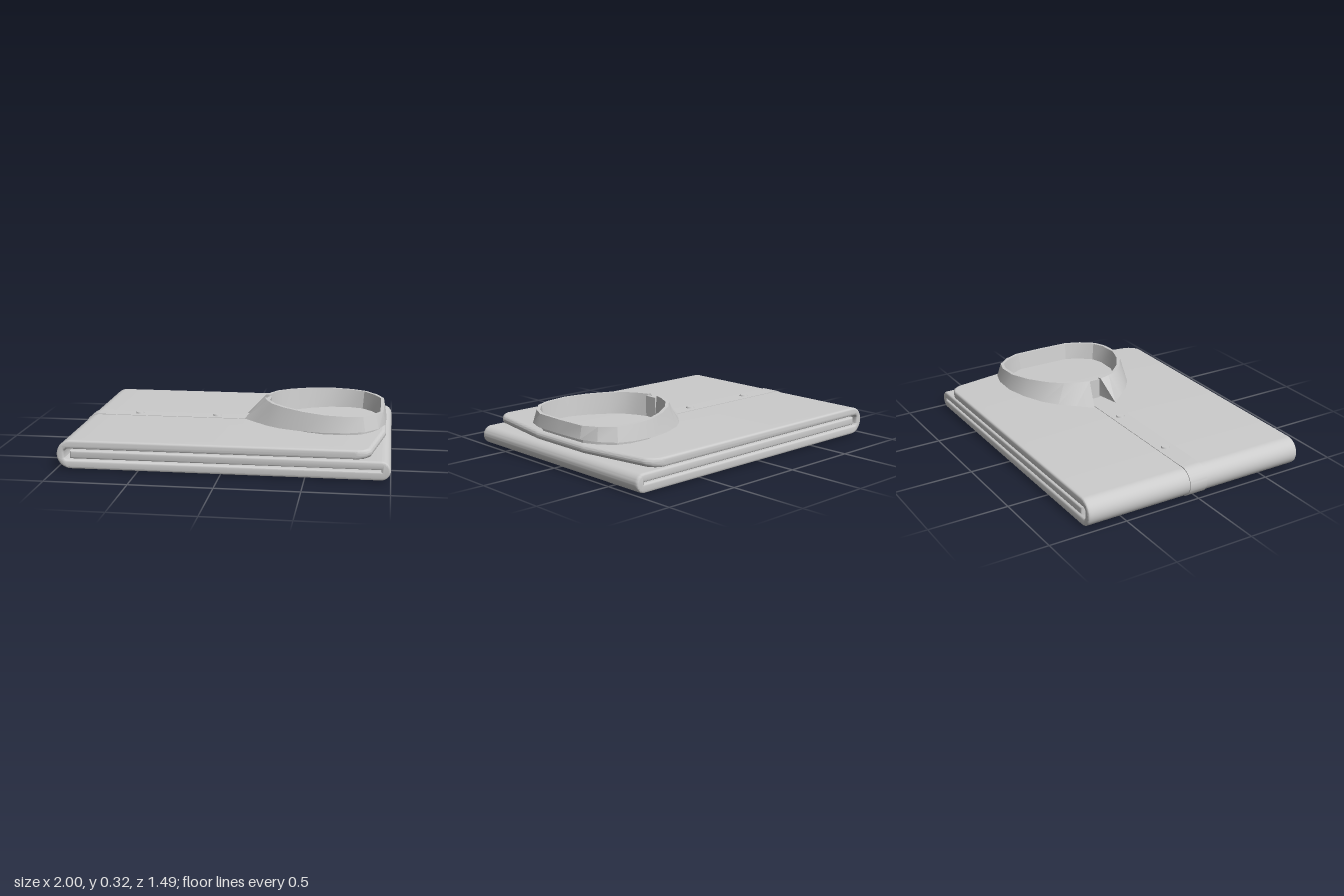
import * as THREE from 'three';
import { toCreasedNormals } from 'three/addons/utils/BufferGeometryUtils.js';

const material = new THREE.MeshStandardMaterial({ color: 0xcccccc, side: THREE.DoubleSide });
const HALF = 0.745; // half width of the folded cloth in z
const FOLD = { x: -0.9075, y: 0.0925, r: 0.0875 }; // centre of the big left fold

function part(name, geometry, parent) {
  const mesh = new THREE.Mesh(geometry, material);
  mesh.name = name;
  parent.add(mesh);
  return mesh;
}

// Front end of the top layer, tapering towards the shoulders
function endX(z) {
  const steps = [[0, 0.965], [0.22, 0.965], [0.68, 0.888], [0.72, 0.86], [HALF, 0.81]];
  for (let i = 1; i < steps.length; i++) {
    const [z0, x0] = steps[i - 1], [z1, x1] = steps[i];
    if (z <= z1) return x0 + (x1 - x0) * (z - z0) / (z1 - z0);
  }
  return 0.81;
}

// One sheet folded in an S: top layer, left fold, bottom layer, right fold, middle layer
function foldedBody() {
  const P = Math.PI, s = new THREE.Shape();
  s.moveTo(FOLD.x, 0.18);
  s.lineTo(0.938, 0.18);
  s.absarc(0.938, 0.1535, 0.0265, P / 2, -P / 2, true);
  s.lineTo(-0.93, 0.127);
  s.absarc(-0.93, 0.107, 0.02, P / 2, P, false);
  s.absarc(-0.93, 0.078, 0.02, P, P * 1.5, false);
  s.lineTo(0.945, 0.058);
  s.lineTo(0.945, 0.068);
  s.lineTo(-0.912, 0.068);
  s.lineTo(-0.912, 0.118);
  s.lineTo(0.943, 0.118);
  s.absarc(0.943, 0.0615, 0.0565, P / 2, -P / 2, true);
  s.lineTo(FOLD.x, 0.005);
  s.absarc(FOLD.x, FOLD.y, FOLD.r, -P / 2, -P * 1.5, true);
  const bevel = 0.012, depth = 2 * (HALF - bevel);
  const g = new THREE.ExtrudeGeometry(s, {
    depth, steps: 100, curveSegments: 12,
    bevelThickness: bevel, bevelSize: bevel, bevelOffset: -bevel, bevelSegments: 3,
  });
  g.translate(0, 0, -depth / 2);
  // Pull back the rounded end of the top layer
  const p = g.attributes.position;
  for (let i = 0; i < p.count; i++) {
    if (p.getX(i) > 0.5 && p.getY(i) > 0.122) {
      p.setX(i, p.getX(i) - 0.965 + endX(Math.abs(p.getZ(i))));
    }
  }
  return toCreasedNormals(g, 0.6);
}

// Thin band along the middle that wraps round the left fold
function placketBand() {
  const P = Math.PI, s = new THREE.Shape(), r = FOLD.r + 0.005;
  s.moveTo(0.21, 0.179);
  s.lineTo(0.21, 0.183);
  s.lineTo(-0.8, 0.183);
  s.absarc(FOLD.x, FOLD.y, r, P / 2, P * 1.5, false);
  s.absarc(FOLD.x, FOLD.y, FOLD.r - 0.001, P * 1.5, P / 2, true);
  const g = new THREE.ExtrudeGeometry(s, { depth: 0.12, bevelEnabled: false, curveSegments: 16 });
  g.translate(0, 0, -0.06);
  return toCreasedNormals(g, 0.6);
}

// Turned-down collar: a six-point section carried round an egg-shaped outline
function collarRing() {
  const hem = [[0.06, 0.08], [0.14, 0.17], [0.22, 0.26], [0.31, 0.33], [0.45, 0.395], [0.59, 0.432],
    [0.74, 0.43], [0.84, 0.4], [0.92, 0.31], [0.96, 0.2], [0.966, 0]];
  const rim = [[0.185, 0.042], [0.21, 0.12], [0.25, 0.2], [0.33, 0.28], [0.455, 0.36], [0.59, 0.408],
    [0.735, 0.408], [0.825, 0.378], [0.9, 0.295], [0.945, 0.2], [0.95, 0]];
  const inward = ([x, z], d) => {
    const dx = 0.6 - x, l = Math.hypot(dx, z);
    return [x + dx / l * d, z - z / l * d];
  };
  const section = (o, t) => {
    const top = 0.323 - 0.045 * (t[0] - 0.18), low = 0.188 + 0.022 * (o[0] - 0.06);
    const at = ([x, z], y) => [x, y, z];
    return [at(o, low), at(t, top), at(inward(t, 0.022), top),
      at(inward(t, 0.04), 0.176), at(inward(t, 0.02), 0.176), at(inward(t, 0.018), low + 0.008)];
  };
  const half = hem.map((o, i) => section(o, rim[i]));
  const mirrored = half.slice(0, -1).reverse().map(sec => sec.map(([x, y, z]) => [x, y, -z]));
  const rings = [...half, ...mirrored];
  const out = [];
  const quad = (a, b, c, d) => out.push(...a, ...b, ...c, ...a, ...c, ...d);
  for (let i = 0; i < rings.length - 1; i++) {
    for (let j = 0; j < 6; j++) {
      const k = (j + 1) % 6;
      quad(rings[i][j], rings[i + 1][j], rings[i + 1][k], rings[i][k]);
    }
  }
  // Close both front ends
  const a = rings[0], b = rings[rings.length - 1];
  quad(a[0], a[1], a[2], a[5]);
  quad(a[2], a[3], a[4], a[5]);
  quad(b[5], b[2], b[1], b[0]);
  quad(b[5], b[4], b[3], b[2]);
  const g = new THREE.BufferGeometry();
  g.setAttribute('position', new THREE.Float32BufferAttribute(out, 3));
  return toCreasedNormals(g, 0.35);
}

export function createModel() {
  const model = new THREE.Group();
  model.name = 'foldedShirt';
  part('foldedBody', foldedBody(), model);
  part('placket', placketBand(), model);

  const collar = new THREE.Group();
  collar.name = 'collar';
  model.add(collar);
  part('collarLeaf', collarRing(), collar);
  // Closed front of the collar stand between the two points
  part('collarStandFront', new THREE.BoxGeometry(0.022, 0.135, 0.085), collar).position.set(0.212, 0.245, 0);

  // Buttons on the placket
  for (const x of [-0.645, -0.13]) {
    part('button', new THREE.CylinderGeometry(0.024, 0.028, 0.012, 20), model).position.set(x, 0.187, 0);
  }
  return model;
}
